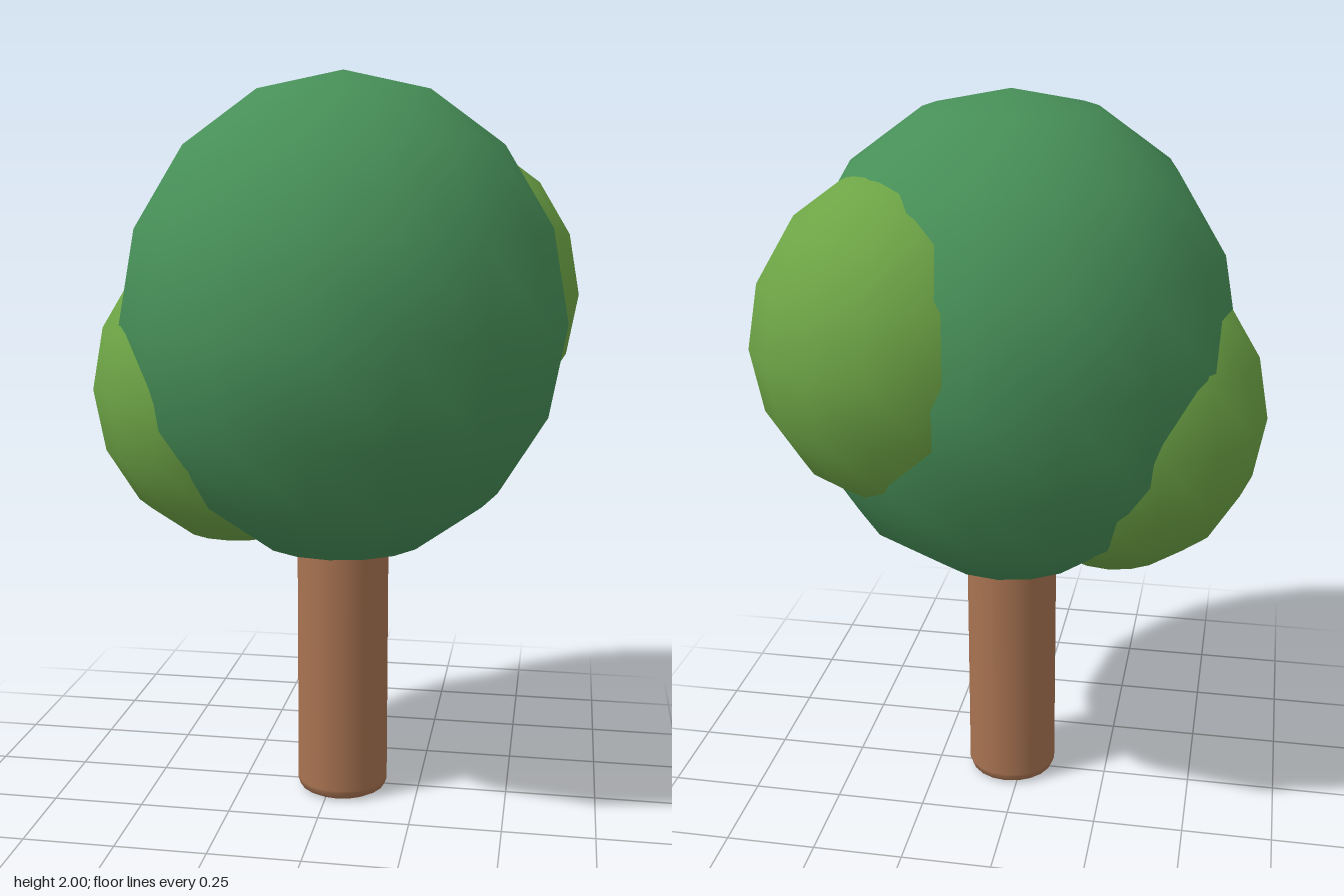
import * as THREE from 'three';

const leafGreen = new THREE.MeshStandardMaterial({ color: 0x478f58 });
leafGreen.name = 'leafGreen';
const lightGreen = new THREE.MeshStandardMaterial({ color: 0x6ea546 });
lightGreen.name = 'lightGreen';
const barkBrown = new THREE.MeshStandardMaterial({ color: 0xa87351 });
barkBrown.name = 'barkBrown';

export function createModel() {
  const tree = new THREE.Group();
  tree.name = 'tree';

  const add = (name, geometry, material, x, y, z) => {
    const mesh = new THREE.Mesh(geometry, material);
    mesh.name = name;
    mesh.position.set(x, y, z);
    tree.add(mesh);
  };

  // Foliage balls, slightly taller than wide
  const foliage = (name, material, radius, height, x, y, z) =>
    add(name, new THREE.SphereGeometry(radius, 16, 8).scale(1, height / radius, 1), material, x, y, z);

  foliage('crown', leafGreen, 0.605, 0.66, 0.03, 1.34, 0.01);
  foliage('lowerRightFoliage', lightGreen, 0.4, 0.44, -0.262, 1.156, 0.007);
  foliage('upperLeftFoliage', lightGreen, 0.397, 0.436, 0.263, 1.398, -0.22);

  // Trunk with a softly rounded foot, its top buried in the crown
  const profile = [[0, 0], [0.108, 0], [0.108, 0], [0.122, 0.008], [0.128, 0.025], [0.128, 0.03], [0.128, 1], [0.128, 1], [0, 1]]
    .map(([r, y]) => new THREE.Vector2(r, y));
  // Split at the foot and top edges so the end caps stay flat
  [['trunkBase', 0, 2], ['trunk', 2, 7], ['trunkTop', 7, 9]].forEach(([name, from, to]) =>
    add(name, new THREE.LatheGeometry(profile.slice(from, to), 20), barkBrown, 0.032, 0, 0.015));

  return tree;
}
